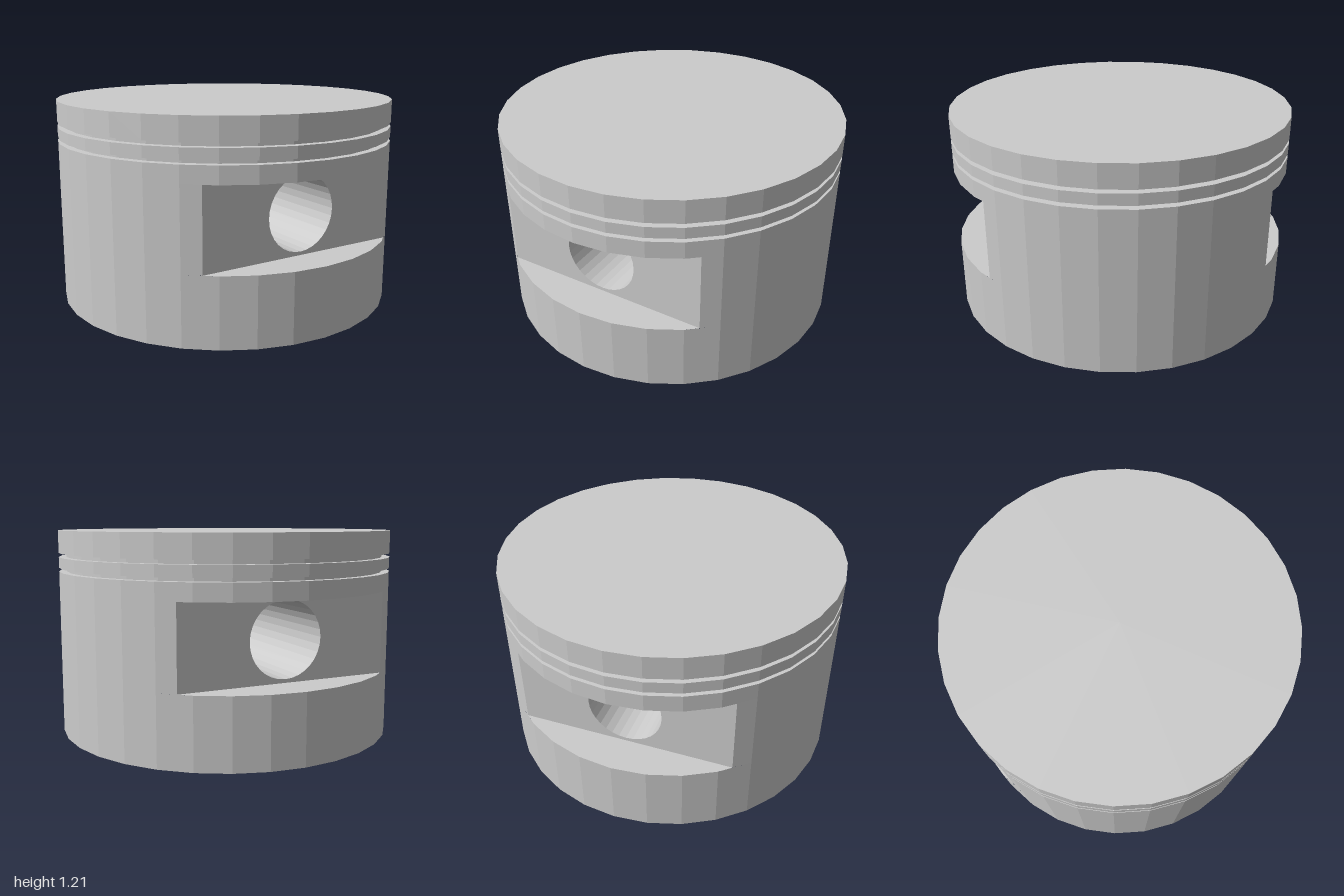
import * as THREE from 'three';

const SIDES = 32;
const GROOVE = 0.955;                  // radius at the bottom of the ring grooves
const SLOT = { x: 0.62, z: 0.778, y0: 0.4, y1: 0.865 };
const BORE = { y: 0.635, r: 0.215 };

const v2 = (x, y) => new THREE.Vector2(x, y);

export function createModel() {
  const piston = new THREE.Group();
  piston.name = 'piston';
  const material = new THREE.MeshStandardMaterial({ color: 0xcccccc, flatShading: true });
  const inner = material.clone();
  inner.side = THREE.BackSide;

  const add = (name, geometry, mat = material) => {
    const mesh = new THREE.Mesh(geometry, mat);
    mesh.name = name;
    piston.add(mesh);
    return mesh;
  };
  const lathe = (profile, ...args) =>
    new THREE.LatheGeometry(profile.map(([r, y]) => v2(r, y)), ...args);

  // Crown with two ring grooves and a barely domed top
  add('crown', lathe([
    [1, SLOT.y1], [1, 0.963], [GROOVE, 0.963], [GROOVE, 0.984], [1, 0.984],
    [1, 1.048], [GROOVE, 1.048], [GROOVE, 1.071], [1, 1.071],
    [1, 1.203], [0, 1.207],
  ], SIDES));

  // Skirt with the shallow round cavity underneath
  add('skirt', lathe([[0, SLOT.y0], [0.9, SLOT.y0], [0.9, 0], [1, 0], [1, SLOT.y0]], SIDES));

  // Curved flanks between the slots; end columns are pulled back to the slot corners
  const step = (Math.PI * 2) / SIDES;
  for (const side of ['left', 'right']) {
    const flank = lathe([[1, SLOT.y0], [1, SLOT.y1]], 10, 3 * step, 10 * step);
    const p = flank.attributes.position;
    for (let i = 0; i < p.count; i++) {
      p.setX(i, Math.max(p.getX(i), SLOT.x));
      p.setZ(i, THREE.MathUtils.clamp(p.getZ(i), -SLOT.z, SLOT.z));
    }
    if (side === 'right') flank.rotateY(Math.PI);
    add(side + 'Flank', flank);
  }

  // Slot wall pierced by the pin bore
  const wall = new THREE.Shape([
    v2(-SLOT.x, SLOT.y0), v2(SLOT.x, SLOT.y0), v2(SLOT.x, SLOT.y1), v2(-SLOT.x, SLOT.y1),
  ]);
  wall.holes.push(new THREE.Path().absarc(0, BORE.y, BORE.r, 0, Math.PI * 2, true));

  // Ledge plan: the slice of the polygon outside the slot wall
  const ledgePoints = [v2(SLOT.x, SLOT.z)];
  for (let i = 3; i >= -3; i--) ledgePoints.push(v2(Math.sin(i * step), Math.cos(i * step)));
  ledgePoints.push(v2(-SLOT.x, SLOT.z));
  const ledge = new THREE.Shape(ledgePoints);

  for (const [side, turn] of [['front', 0], ['back', Math.PI]]) {
    add(side + 'SlotWall',
      new THREE.ShapeGeometry(wall, 16).translate(0, 0, SLOT.z).rotateY(turn));
    add(side + 'SlotFloor',
      new THREE.ShapeGeometry(ledge).rotateX(-Math.PI / 2).rotateY(turn + Math.PI)
        .translate(0, SLOT.y0, 0));
    add(side + 'SlotRoof',
      new THREE.ShapeGeometry(ledge).rotateX(Math.PI / 2).rotateY(turn)
        .translate(0, SLOT.y1, 0));
  }

  // Pin bore running from slot to slot
  add('pinBore',
    new THREE.CylinderGeometry(BORE.r, BORE.r, SLOT.z * 2, 32, 1, true)
      .rotateX(Math.PI / 2).translate(0, BORE.y, 0), inner);

  return piston;
}
